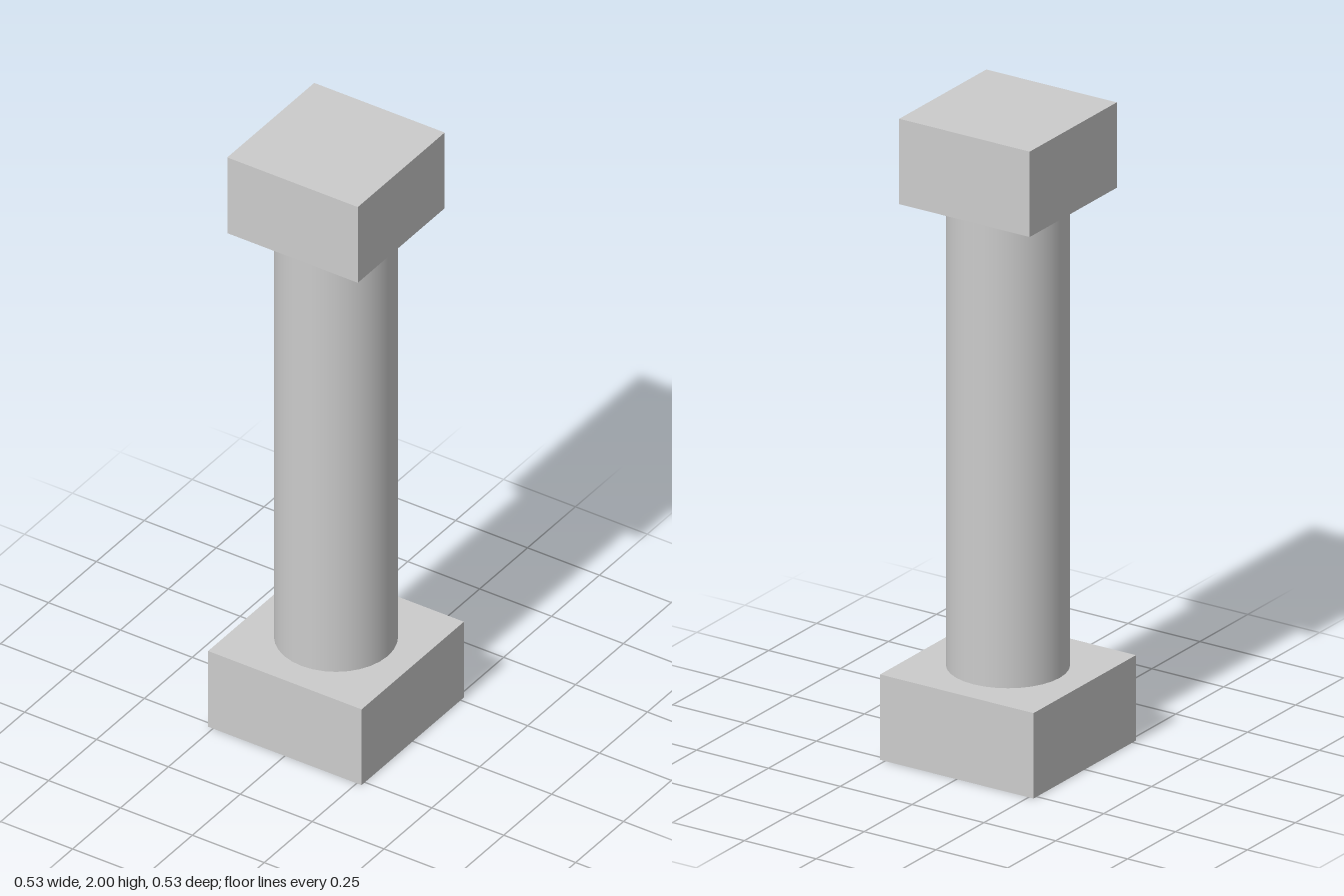
import * as THREE from 'three';

export function createModel() {
  const group = new THREE.Group();
  const material = new THREE.MeshStandardMaterial({ color: 0xcccccc });

  const add = (name, geometry, y) => {
    const mesh = new THREE.Mesh(geometry, material);
    mesh.name = name;
    mesh.position.y = y;
    group.add(mesh);
  };

  const blockHeight = 0.267;
  const shaftHeight = 2 - 2 * blockHeight;

  // Square plinth at the foot
  add('base', new THREE.BoxGeometry(0.534, blockHeight, 0.534), blockHeight / 2);
  // Round smooth shaft
  add('shaft', new THREE.CylinderGeometry(0.18, 0.18, shaftHeight, 32), 1);
  // Slightly narrower square block on top
  add('capital', new THREE.BoxGeometry(0.454, blockHeight, 0.454), 2 - blockHeight / 2);

  return group;
}
